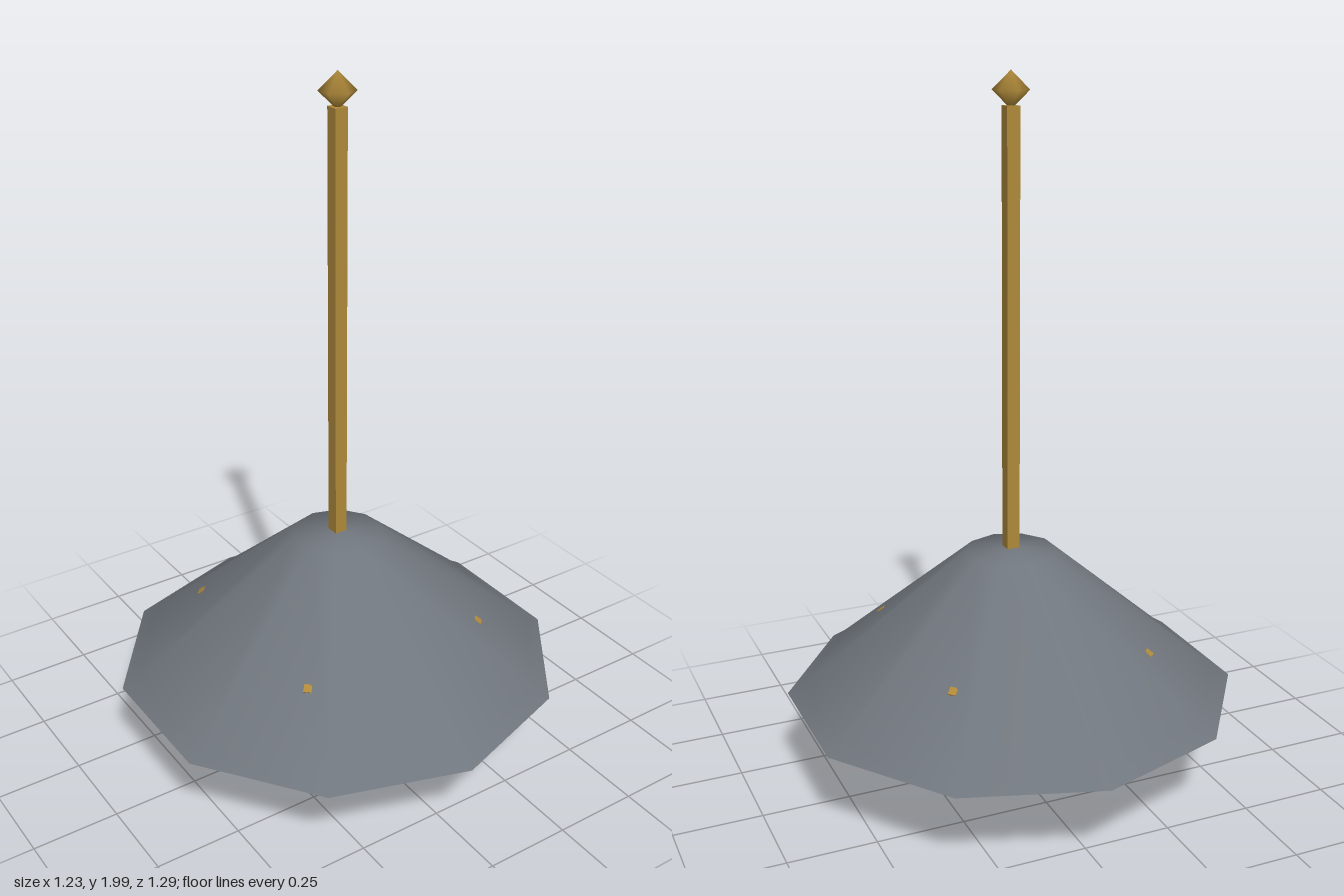
import * as THREE from 'three';

export function createModel() {
  const root = new THREE.Group();
  const material = (name, color, side = THREE.FrontSide) => {
    const m = new THREE.MeshStandardMaterial({ color, side });
    m.name = name;
    return m;
  };
  const slate = material('slate grey', 0x70767d, THREE.DoubleSide);
  const brass = material('brass', 0xb08a3a);
  const cream = material('warm cream', 0xdcc69c);

  const add = (name, geometry, mat, y = 0, parent = root) => {
    const mesh = new THREE.Mesh(geometry, mat);
    mesh.name = name;
    mesh.position.y = y;
    parent.add(mesh);
    return mesh;
  };

  // Ten-sided flared shade, softly shaded
  const profile = [[0.645, 0.26], [0.6, 0.29], [0.13, 0.68], [0, 0.692]]
    .map(([r, y]) => new THREE.Vector2(r, y));
  add('shade', new THREE.LatheGeometry(profile, 10), slate);

  // Hanging rod and faceted finial
  add('rod', new THREE.BoxGeometry(0.037, 1.25, 0.037), brass, 1.285);
  add('finial', new THREE.SphereGeometry(0.05, 6, 2).rotateY(Math.PI / 2), brass, 1.95);

  // Globe
  add('globe', new THREE.SphereGeometry(0.275, 10, 8).rotateY(Math.PI / 2), cream, 0.325);

  // Cage: four bent wires on the diagonals, joined by an eight-sided ring
  const cage = new THREE.Group();
  cage.name = 'cage';
  root.add(cage);
  const bends = [[0, 0.018], [0.25, 0.13], [0.33, 0.31], [0.412, 0.43]];
  const up = new THREE.Vector3(0, 1, 0);
  for (let i = 0; i < 4; i++) {
    const wire = new THREE.Group();
    wire.name = 'cageWire';
    wire.rotation.y = Math.PI / 4 + i * Math.PI / 2;
    cage.add(wire);
    for (let j = 0; j < bends.length - 1; j++) {
      const a = new THREE.Vector3(bends[j][0], bends[j][1], 0);
      const b = new THREE.Vector3(bends[j + 1][0], bends[j + 1][1], 0);
      const dir = b.clone().sub(a);
      const bar = add('wireSegment', new THREE.BoxGeometry(0.023, dir.length() + 0.008, 0.023), brass, 0, wire);
      bar.position.copy(a).add(b).multiplyScalar(0.5);
      bar.quaternion.setFromUnitVectors(up, dir.normalize());
    }
  }
  add('cageRing', new THREE.TorusGeometry(0.33, 0.015, 4, 8).rotateX(Math.PI / 2), brass, 0.31, cage);

  return root;
}
